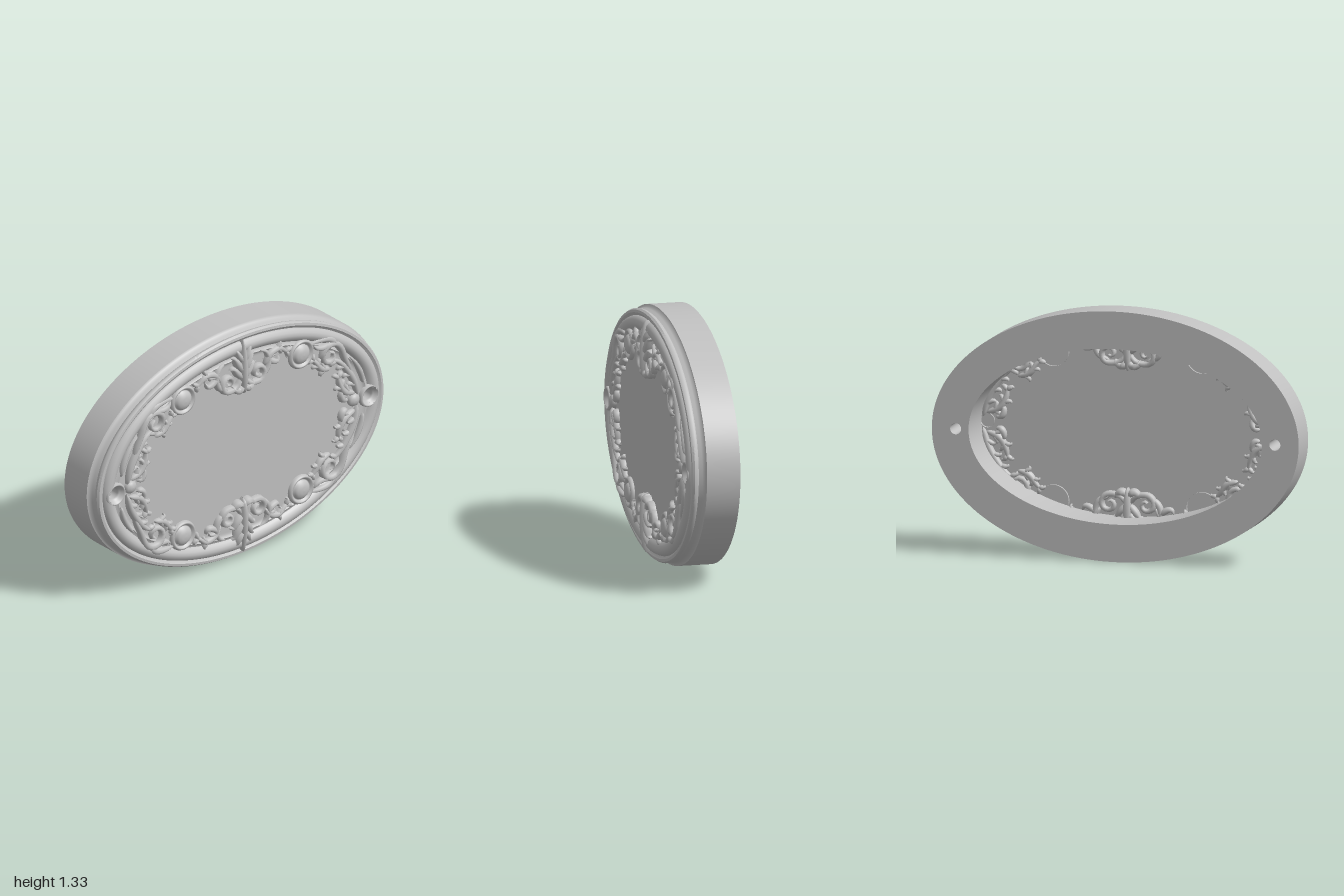
import * as THREE from 'three';
import { mergeGeometries, mergeVertices, toCreasedNormals } from 'three/addons/utils/BufferGeometryUtils.js';

const A = 1, B = 0.667;              // half axes of the oval
const BACK = -0.15, FACE = 0.1;      // back plane and ornament ground
const HOLE_X = 0.87, HOLE_R = 0.03;

const plaster = new THREE.MeshStandardMaterial({ color: 0xc0c0c0, side: THREE.DoubleSide });
plaster.name = 'grey plaster';

function mesh(name, geometry) {
  const m = new THREE.Mesh(geometry, plaster);
  m.name = name;
  return m;
}

// Frame moulding: [inset from the outer oval, z], swept round the oval
const PROFILE = [
  [0, BACK], [0, 0.03], [0.012, 0.035], [0.02, 0.05], [0.027, 0.068], [0.02, 0.078], [0.018, 0.09],
  [0.026, 0.102], [0.04, 0.104], [0.048, 0.098], [0.055, 0.094], [0.06, 0.106], [0.075, 0.118],
  [0.092, 0.122], [0.108, 0.118], [0.122, 0.107], [0.13, 0.098], [0.138, 0.1], [0.148, 0.107],
  [0.156, 0.101], [0.165, 0.098], [0.175, 0.098], [0.185, 0.098], [0.2, 0.098], [0.2, BACK],
];

function frameGeometry() {
  const N = 240, P = PROFILE.length, pos = [], index = [];
  for (let i = 0; i < N; i++) {
    const t = (i / N) * Math.PI * 2;
    for (const [d, z] of PROFILE) pos.push((A - d) * Math.cos(t), (B - d) * Math.sin(t), z);
  }
  // leave the front open where the screw cups sit
  const inCup = (...v) => {
    const mean = k => v.reduce((s, i) => s + pos[i * 3 + k], 0) / 3;
    return mean(2) > 0.08 && Math.hypot(Math.abs(mean(0)) - HOLE_X, mean(1)) < 0.052;
  };
  const tri = (a, b, c) => { if (!inCup(a, b, c)) index.push(a, b, c); };
  for (let i = 0; i < N; i++) {
    for (let j = 0; j < P - 1; j++) {
      const a = i * P + j, b = ((i + 1) % N) * P + j;
      tri(a, b, b + 1);
      tri(a, b + 1, a + 1);
    }
  }
  const g = new THREE.BufferGeometry();
  g.setAttribute('position', new THREE.Float32BufferAttribute(pos, 3));
  g.setIndex(index);
  return toCreasedNormals(g, 0.75);
}

function ovalShape(a, b) {
  const s = new THREE.Shape();
  s.absellipse(0, 0, a, b, 0, Math.PI * 2);
  return s;
}

// Flat back rim with the cavity and the two screw holes cut out
function backGeometry() {
  const s = ovalShape(A, B);
  s.holes.push(ovalShape(A - 0.2, B - 0.2));
  for (const x of [-HOLE_X, HOLE_X]) {
    const h = new THREE.Path();
    h.absarc(x, 0, HOLE_R, 0, Math.PI * 2);
    s.holes.push(h);
  }
  return new THREE.ShapeGeometry(s, 120).rotateY(Math.PI).translate(0, 0, BACK);
}

// Turned part whose axis points to the front; points are [radius, z]
function turned(points, x, y) {
  const g = new THREE.LatheGeometry(points.map(p => new THREE.Vector2(p[0], p[1])), 40);
  return g.rotateX(Math.PI / 2).translate(x, y, 0);
}

// Tapering leaf stroke: w = widest half width, h = relief height
function stroke(points, w, h = 0.03, tip = 0.12) {
  const n = 22, r = 8;
  const curve = new THREE.CatmullRomCurve3(points.map(p => new THREE.Vector3(p[0], p[1], FACE)));
  const g = new THREE.TubeGeometry(curve, n, 1, r);
  const p = g.attributes.position;
  for (let i = 0; i <= n; i++) {
    const t = i / n, c = curve.getPointAt(t);
    const k = tip + (1 - tip) * Math.pow(Math.sin(Math.PI * Math.pow(t, 0.75)), 0.7);
    for (let j = 0; j <= r; j++) {
      const v = i * (r + 1) + j;
      p.setXYZ(v, c.x + (p.getX(v) - c.x) * w * k, c.y + (p.getY(v) - c.y) * w * k,
        c.z + (p.getZ(v) - c.z) * h * Math.sqrt(k));
    }
  }
  g.deleteAttribute('uv');
  g.deleteAttribute('normal');
  const m = mergeVertices(g, 1e-5);
  m.computeVertexNormals();
  return m;
}

// Spiral path round a centre, turning inwards
function spiral(cx, cy, r0, r1, a0, turn) {
  return Array.from({ length: 12 }, (_, i) => {
    const t = i / 11, r = r0 + (r1 - r0) * t, a = a0 + turn * t;
    return [cx + r * Math.cos(a), cy + r * Math.sin(a)];
  });
}

// Stem with curved lobes springing from its sides
function frond(points, w, lobe, sides = [1, -1], count = 4) {
  const parts = [stroke(points, w)];
  const c = new THREE.CatmullRomCurve3(points.map(p => new THREE.Vector3(p[0], p[1], 0)));
  for (let i = 0; i < count; i++) {
    const t = 0.18 + 0.68 * i / Math.max(1, count - 1);
    const p = c.getPointAt(t), d = c.getTangentAt(t), len = lobe * (1 - 0.35 * t);
    for (const s of sides) {
      const at = (f, o) => [p.x + (d.x * f - d.y * o * s) * len, p.y + (d.y * f + d.x * o * s) * len];
      parts.push(stroke([at(0, 0), at(0.5, 0.35), at(0.75, 0.8), at(0.6, 1.1)], w * 0.7, 0.024));
    }
  }
  return parts;
}

// Half of the centre crest; the other half is mirrored
function crestGeometry() {
  const parts = [
    stroke([[0, 0.31], [0, 0.42], [0, 0.53], [0, 0.625]], 0.026, 0.053),
    stroke([[0.005, 0.44], [0.035, 0.49], [0.06, 0.53], [0.075, 0.535]], 0.022, 0.042),
    stroke([[0.005, 0.5], [0.03, 0.54], [0.045, 0.57], [0.055, 0.575]], 0.018, 0.042),
    stroke([[0.005, 0.4], [0.04, 0.44], [0.065, 0.47], [0.085, 0.465]], 0.02, 0.04),
    stroke([[0.0, 0.36], [0.03, 0.335], [0.055, 0.345], [0.07, 0.37]], 0.022, 0.045),
    stroke([[0.01, 0.4], [0.04, 0.36], ...spiral(0.1, 0.4, 0.055, 0.012, -1.9, 7.2)], 0.017, 0.036, 0.4),
    stroke([[0.1, 0.36], [0.16, 0.39], [0.18, 0.45], [0.16, 0.5], [0.12, 0.52]], 0.018, 0.03),
    ...frond([[0.15, 0.42], [0.19, 0.475], [0.25, 0.49], [0.3, 0.455], [0.33, 0.45]], 0.018, 0.045, [1, -1], 3),
    stroke([[0.17, 0.46], [0.2, 0.43], [0.235, 0.42], [0.25, 0.445]], 0.018),
  ];
  return mergeGeometries(parts);
}

// Running acanthus in one quarter, from the side up to the roundel
function acanthusGeometry() {
  const parts = [
    ...frond([[0.79, 0.03], [0.765, 0.12], [0.72, 0.2], [0.66, 0.27], [0.6, 0.3]], 0.021, 0.05, [1], 4),
    ...frond([[0.77, 0.05], [0.7, 0.08], [0.665, 0.14], [0.655, 0.2]], 0.02, 0.045, [1, -1], 3),
    stroke([[0.74, 0.19], [0.7, 0.28], ...spiral(0.6, 0.33, 0.075, 0.014, 0.3, 7.5)], 0.02, 0.034, 0.35),
    ...frond([[0.6, 0.25], [0.54, 0.27], [0.5, 0.32], [0.47, 0.35]], 0.019, 0.04, [1, -1], 3),
    stroke([[0.66, 0.36], [0.6, 0.425], [0.53, 0.44], [0.47, 0.435]], 0.02),
    stroke([[0.6, 0.4], [0.55, 0.39], [0.51, 0.4], [0.49, 0.42]], 0.016),
    stroke([[0.83, 0.09], [0.815, 0.15], [0.78, 0.22], [0.74, 0.27]], 0.016, 0.024),
    stroke([[0.72, 0.03], [0.69, 0.035], [0.675, 0.07], [0.69, 0.1]], 0.018),
  ];
  return mergeGeometries(parts);
}

const ROUNDEL = [[0.084, 0.085], [0.084, 0.106], [0.077, 0.119], [0.068, 0.119], [0.06, 0.107], [0.054, 0.105],
  [0.05, 0.117], [0.038, 0.127], [0.02, 0.132], [0, 0.133]];
const CUP = [[0.066, 0.09], [0.064, 0.114], [0.058, 0.121], [0.052, 0.119], [0.045, 0.106], [0.036, 0.098],
  [HOLE_R, 0.09], [HOLE_R, BACK]];
const BUD = [[0.038, 0.085], [0.037, 0.11], [0.028, 0.122], [0.012, 0.128], [0, 0.129]];

export function createModel() {
  const model = new THREE.Group();
  const plaque = new THREE.Group();
  plaque.name = 'ovalPlaque';
  plaque.position.y = B;
  model.add(plaque);

  plaque.add(mesh('frame', frameGeometry()));
  plaque.add(mesh('backRim', backGeometry()));

  // thin centre panel closing the cavity
  plaque.add(mesh('panel', new THREE.ShapeGeometry(ovalShape(A - 0.2, B - 0.2), 80).translate(0, 0, 0.098)));

  const acanthus = acanthusGeometry(), crest = crestGeometry();
  const roundel = turned(ROUNDEL, 0.405, 0.4);
  for (const sx of [1, -1]) {
    const side = sx > 0 ? 'left' : 'right';
    plaque.add(mesh(side + 'ScrewCup', turned(CUP, sx * HOLE_X, 0)));
    plaque.add(mesh(side + 'Bud', turned(BUD, sx * 0.765, 0.01)));
    for (const sy of [1, -1]) {
      // ornament of one quarter, mirrored to the other three
      const quarter = new THREE.Group();
      quarter.name = side + (sy > 0 ? 'Upper' : 'Lower') + 'Ornament';
      quarter.scale.set(sx, sy, 1);
      quarter.add(mesh('acanthus', acanthus), mesh('crestHalf', crest), mesh('roundel', roundel));
      plaque.add(quarter);
    }
  }
  return model;
}
